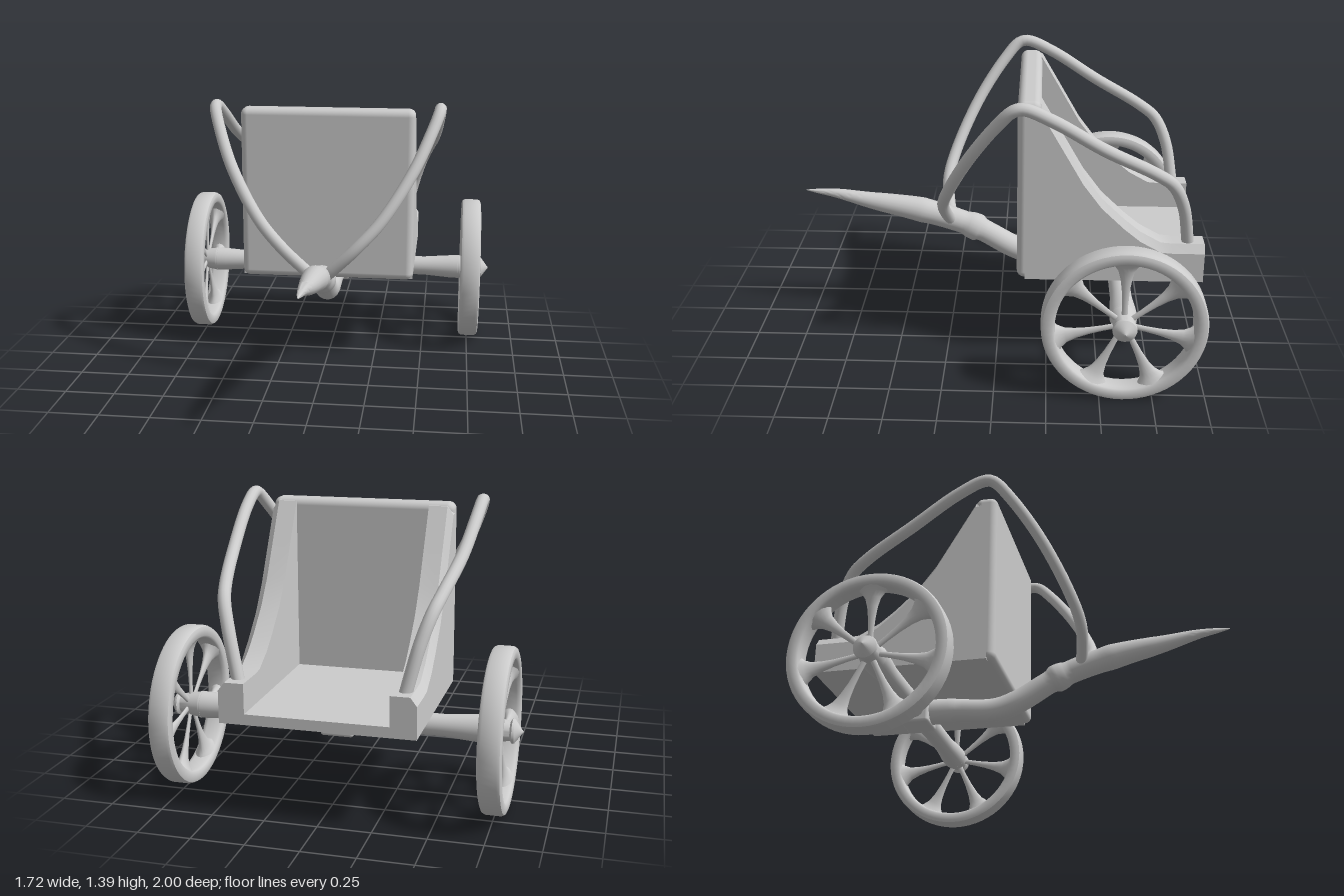
import * as THREE from 'three';
import { toCreasedNormals } from 'three/addons/utils/BufferGeometryUtils.js';
import { RoundedBoxGeometry } from 'three/addons/geometries/RoundedBoxGeometry.js';

const material = new THREE.MeshStandardMaterial({ color: 0xcccccc });
const V2 = (a) => a.map(([x, y]) => new THREE.Vector2(x, y));
const V3 = (a) => a.map((p) => new THREE.Vector3(...p));

function add(parent, name, geometry, x = 0, y = 0, z = 0) {
  const mesh = new THREE.Mesh(geometry, material);
  mesh.name = name;
  mesh.position.set(x, y, z);
  parent.add(mesh);
  return mesh;
}

// Linear lookup in a table of [key, value] pairs with rising keys
function lookup(table, k) {
  for (let i = 1; i < table.length; i++) {
    const [a, va] = table[i - 1], [b, vb] = table[i];
    if (k <= b) return THREE.MathUtils.lerp(va, vb, THREE.MathUtils.clamp((k - a) / (b - a), 0, 1));
  }
  return table[table.length - 1][1];
}

// Solid through matching closed sections, listed from +z to -z
function loft(sections) {
  const n = sections[0].length, index = [];
  for (let s = 0; s < sections.length - 1; s++) {
    for (let i = 0; i < n; i++) {
      const a = s * n + i, b = s * n + (i + 1) % n;
      index.push(a, a + n, b, b, a + n, b + n);
    }
  }
  const last = (sections.length - 1) * n;
  for (let i = 1; i < n - 1; i++) {
    index.push(0, i, i + 1, last, last + i + 1, last + i);
  }
  const g = new THREE.BufferGeometry();
  g.setAttribute('position', new THREE.Float32BufferAttribute(sections.flat(2), 3));
  g.setIndex(index);
  return toCreasedNormals(g, 0.5);
}

// Swept side wall with a bevelled outer top edge
function wallGeometry() {
  const profile = [[-0.14, 1.345], [-0.21, 1.335], [-0.3, 1.18], [-0.41, 0.99], [-0.5, 0.87],
    [-0.61, 0.765], [-0.69, 0.7], [-0.79, 0.645], [-0.85, 0.64], [-1, 0.64]];
  return loft(profile.map(([z, h]) => [
    [0.33, 0.45, z], [0.45, 0.45, z], [0.45, h - 0.04, z], [0.42, h, z], [0.33, h, z],
  ]));
}

// Tapered, bent draught pole
function poleGeometry() {
  const path = new THREE.CatmullRomCurve3(V3([[0, 0.71, 1], [0, 0.695, 0.85], [0, 0.66, 0.68],
    [0, 0.6, 0.37], [0, 0.515, 0.12], [0, 0.405, -0.08], [0, 0.368, -0.2], [0, 0.378, -0.4], [0, 0.385, -0.62]]));
  const radii = [[-0.62, 0.065], [-0.42, 0.065], [-0.38, 0.06], [-0.1, 0.06], [0.09, 0.058], [0.11, 0.072],
    [0.15, 0.07], [0.18, 0.06], [0.34, 0.062], [0.4, 0.066], [0.6, 0.05], [0.8, 0.029], [0.93, 0.014], [1, 0.002]];
  const segments = 90, sides = 20;
  const g = new THREE.TubeGeometry(path, segments, 1, sides, false);
  const pos = g.attributes.position, p = new THREE.Vector3();
  for (let i = 0; i <= segments; i++) {
    const c = path.getPointAt(i / segments), r = lookup(radii, c.z);
    for (let j = 0; j <= sides; j++) {
      const k = i * (sides + 1) + j;
      p.fromBufferAttribute(pos, k).sub(c).multiplyScalar(r).add(c);
      pos.setXYZ(k, p.x, p.y, p.z);
    }
  }
  return toCreasedNormals(g, 0.8);
}

// Wheel around the x axis: rim, hub with pointed cap, and flared spokes
function makeWheel() {
  const wheel = new THREE.Group();
  wheel.name = 'wheel';
  const rim = V2([[0.385, -0.035], [0.385, 0.035], [0.378, 0.048], [0.365, 0.053], [0.335, 0.053], [0.325, 0.045],
    [0.32, 0.03], [0.32, -0.03], [0.325, -0.045], [0.335, -0.053], [0.365, -0.053], [0.378, -0.048], [0.385, -0.035]]);
  add(wheel, 'rim', toCreasedNormals(new THREE.LatheGeometry(rim, 64).rotateZ(-Math.PI / 2), 0.7));
  const hub = V2([[0, -0.07], [0.065, -0.065], [0.058, -0.02], [0.045, 0.045], [0.058, 0.055], [0.055, 0.065], [0.001, 0.105]]);
  add(wheel, 'hub', toCreasedNormals(new THREE.LatheGeometry(hub, 32).rotateZ(-Math.PI / 2), 0.6));
  const spoke = new THREE.LatheGeometry(V2([[0.014, 0.03], [0.014, 0.1], [0.018, 0.17], [0.026, 0.23],
    [0.038, 0.275], [0.058, 0.305], [0.085, 0.326]]), 16).scale(0.55, 1, 1);
  for (let i = 0; i < 7; i++) {
    add(wheel, 'spoke', spoke).rotation.x = (i / 7) * Math.PI * 2;
  }
  return wheel;
}

export function createModel() {
  const model = new THREE.Group();
  model.name = 'chariot';

  // Car body
  const body = new THREE.Group();
  body.name = 'body';
  model.add(body);
  add(body, 'frontPanel', new RoundedBoxGeometry(0.9, 0.9, 0.11, 4, 0.035), 0, 0.9, -0.155);
  add(body, 'floor', new THREE.BoxGeometry(0.68, 0.05, 0.84), 0, 0.475, -0.58);

  // Pole and the block that clamps it to the axle
  add(model, 'pole', poleGeometry());
  add(model, 'axleBlock', new RoundedBoxGeometry(0.16, 0.15, 0.15, 3, 0.015), 0, 0.383, -0.605);

  // Axle, swelling towards the wheels
  const axle = V2([[0.065, -0.7], [0.063, -0.64], [0.052, -0.5], [0.052, -0.3], [0.058, 0],
    [0.052, 0.3], [0.052, 0.5], [0.063, 0.64], [0.065, 0.7]]);
  add(model, 'axle', new THREE.LatheGeometry(axle, 32).rotateZ(-Math.PI / 2), 0, 0.385, -0.605);

  // Rail from the pole over the front corner and down to the rear of the wall
  const railPath = new THREE.CatmullRomCurve3(V3([[0.03, 0.57, 0.25], [0.08, 0.62, 0.265], [0.18, 0.72, 0.275],
    [0.3, 0.85, 0.235], [0.45, 1.08, 0.12], [0.54, 1.27, -0.01], [0.572, 1.35, -0.085], [0.575, 1.36, -0.13],
    [0.57, 1.3, -0.27], [0.545, 1.16, -0.5], [0.5, 1.03, -0.74], [0.475, 0.965, -0.825],
    [0.435, 0.84, -0.885], [0.38, 0.62, -0.925]]), false, 'centripetal');
  const rail = new THREE.TubeGeometry(railPath, 100, 0.03, 14);
  const wall = wallGeometry();

  // Mirrored parts
  for (const side of [1, -1]) {
    const half = new THREE.Group();
    half.name = side > 0 ? 'leftSide' : 'rightSide';
    half.scale.x = side;
    add(half, 'sideWall', wall);
    add(half, 'rail', rail);
    add(half, 'railEnd', new THREE.SphereGeometry(0.03, 14, 10), 0.03, 0.57, 0.25);
    const wheel = makeWheel();
    wheel.position.set(0.755, 0.385, -0.605);
    half.add(wheel);
    model.add(half);
  }
  return model;
}
